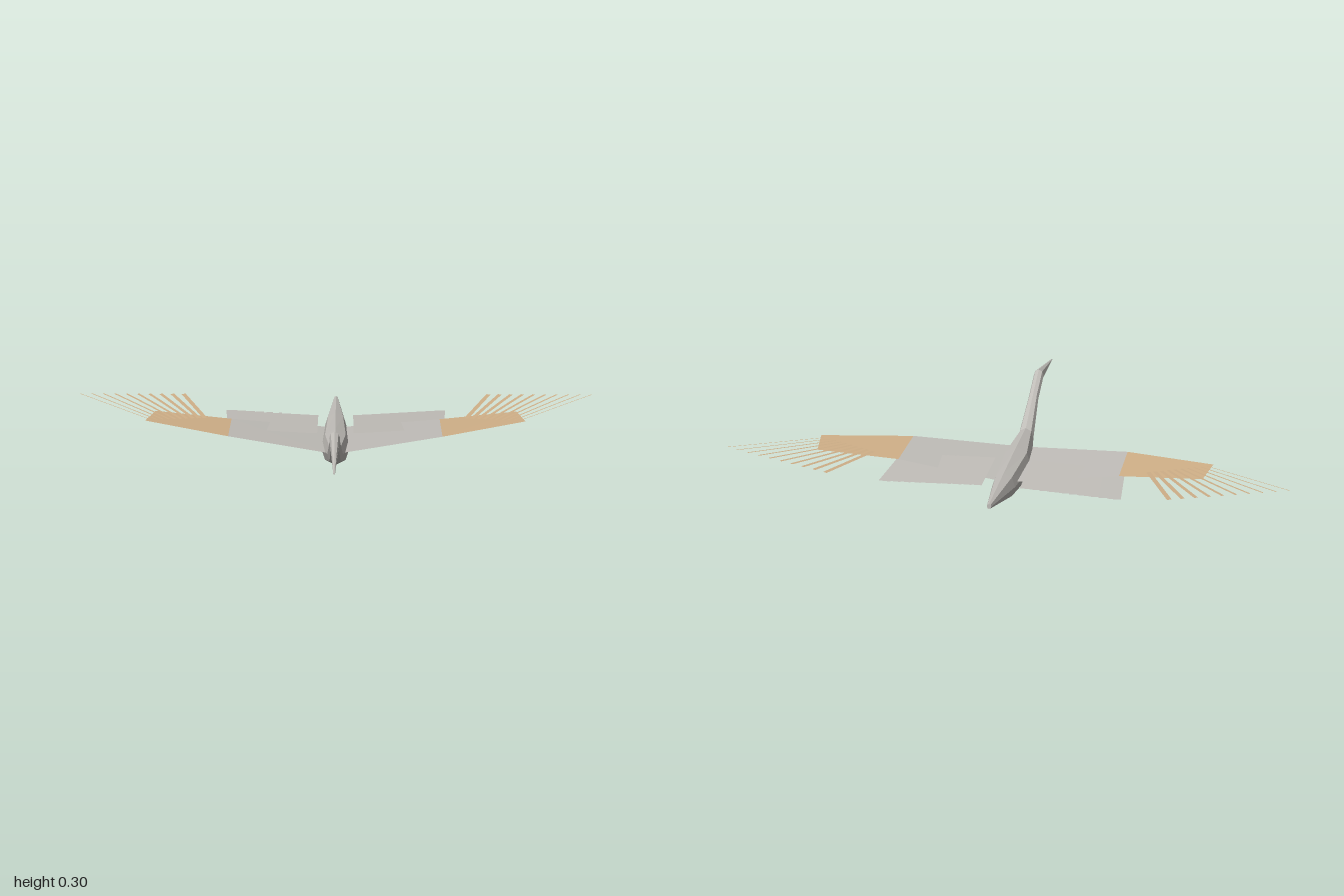
import * as THREE from 'three';

const lerp = THREE.MathUtils.lerp;

// Flat panel from corner points given in order
function panel(points) {
  const g = new THREE.BufferGeometry();
  g.setAttribute('position', new THREE.Float32BufferAttribute(points.flat(), 3));
  g.setIndex([0, 1, 2, 0, 2, 3]);
  g.computeVertexNormals();
  return g;
}

// Straight feather blade from base to tip, lying nearly level
function blade(base, tip, w0, w1) {
  const dx = tip[0] - base[0], dz = tip[2] - base[2], l = Math.hypot(dx, dz);
  const px = -dz / l / 2, pz = dx / l / 2;
  const at = (p, w) => [p[0] + px * w, p[1], p[2] + pz * w];
  return panel([at(base, -w0), at(base, w0), at(tip, w1), at(tip, -w1)]);
}

// Eight-sided skin through sections [z, bottom, top, halfWidth]
function loft(sections, sides = 8) {
  const pos = [], idx = [];
  for (const [z, lo, hi, w] of sections) {
    for (let j = 0; j < sides; j++) {
      const a = (j / sides) * Math.PI * 2;
      pos.push(Math.cos(a) * w, (lo + hi) / 2 + Math.sin(a) * (hi - lo) / 2, z);
    }
  }
  const n = sections.length;
  for (let i = 0; i < n - 1; i++) {
    for (let j = 0; j < sides; j++) {
      const k = (j + 1) % sides;
      const a = i * sides + j, b = i * sides + k, c = a + sides, d = b + sides;
      idx.push(a, c, b, b, c, d);
    }
  }
  // end caps
  const last = (n - 1) * sides;
  for (let j = 1; j < sides - 1; j++) {
    idx.push(0, j, j + 1, last, last + j + 1, last + j);
  }
  const g = new THREE.BufferGeometry();
  g.setAttribute('position', new THREE.Float32BufferAttribute(pos, 3));
  g.setIndex(idx);
  const flat = g.toNonIndexed();
  flat.computeVertexNormals();
  return flat;
}

export function createModel() {
  const model = new THREE.Group();
  model.name = 'flyingBird';

  const grey = new THREE.MeshStandardMaterial({ color: 0xc0bdb8, side: THREE.DoubleSide, flatShading: true });
  grey.name = 'grey plumage';
  const tan = new THREE.MeshStandardMaterial({ color: 0xd0b088, side: THREE.DoubleSide, flatShading: true });
  tan.name = 'tan plumage';

  const add = (parent, name, geometry, material) => {
    const mesh = new THREE.Mesh(geometry, material);
    mesh.name = name;
    parent.add(mesh);
  };

  // Beak, head, neck, body and tail in one skin
  add(model, 'body', loft([
    [0.573, 0.25, 0.254, 0.003],
    [0.305, 0.252, 0.3, 0.019],
    [0.2, 0.195, 0.242, 0.019],
    [0.055, 0.075, 0.154, 0.029],
    [-0.118, 0.0, 0.146, 0.055],
    [-0.335, 0.03, 0.13, 0.041],
    [-0.573, 0.094, 0.112, 0.008],
  ]), grey);

  for (const side of [1, -1]) {
    const wing = new THREE.Group();
    wing.name = side > 0 ? 'leftWing' : 'rightWing';
    wing.scale.x = side;
    model.add(wing);

    // Inner and outer wing panels
    const leadMid = [0.4, 0.137, -0.065], trailMid = [0.4, 0.127, -0.275];
    add(wing, 'innerWing', panel([[0.03, 0.1, 0.005], leadMid, trailMid, [0.03, 0.085, -0.3]]), grey);
    add(wing, 'outerWing', panel([leadMid, [0.72, 0.157, -0.175], [0.695, 0.15, -0.3], trailMid]), tan);

    // Broad overlapping trailing feathers
    for (let i = 0; i < 10; i++) {
      const t = i / 9, y = 0.0005 * i;
      add(wing, 'trailingFeather', blade(
        [lerp(0.09, 0.39, t), 0.114 + y, lerp(-0.16, -0.195, t)],
        [lerp(0.089, 0.409, t), 0.1 + y, lerp(-0.39, -0.43, t)], 0.042, 0.042), grey);
    }

    // Slim fingered feathers fanning from the wing tip
    for (let i = 0; i < 10; i++) {
      const t = i / 9, w = lerp(0.017, 0.003, t);
      add(wing, 'tipFeather', blade(
        [lerp(0.5, 0.7, t), lerp(0.14, 0.155, t), lerp(-0.25, -0.19, t)],
        [lerp(0.604, 0.999, t), lerp(0.148, 0.179, t), lerp(-0.497, -0.412, t)], w, w), tan);
    }
  }
  return model;
}
